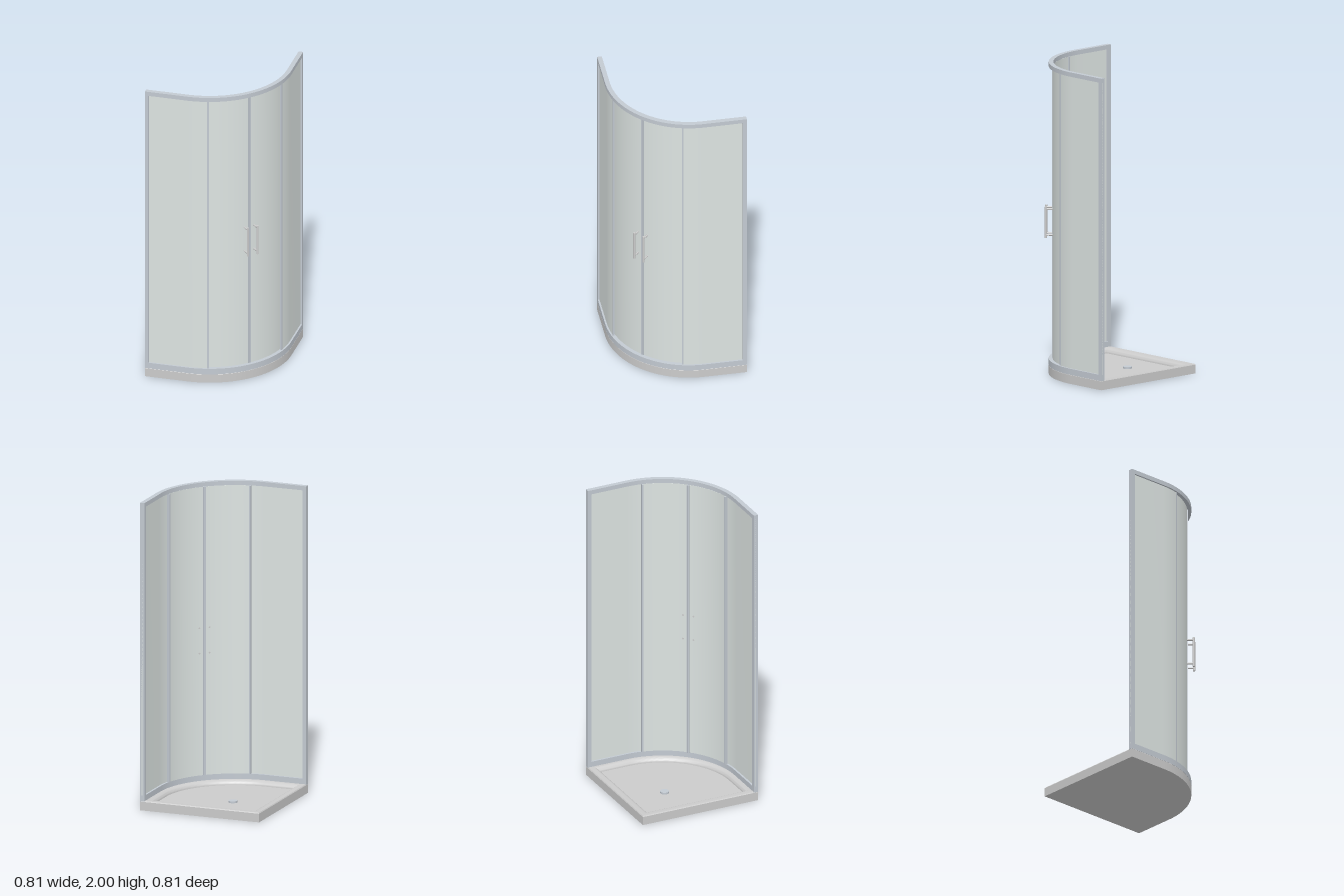
import * as THREE from 'three';
import { toCreasedNormals } from 'three/addons/utils/BufferGeometryUtils.js';

const H = 0.405;              // half width of the quadrant
const C = -0.13;              // centre of the curved front (x and z)
const R = H - C;              // outer radius of the curved front
const TOP = 2, SILL = 0.062;

const grey = new THREE.MeshStandardMaterial({ color: 0xcccccc });
const frameMat = new THREE.MeshStandardMaterial({ color: 0xc3cad2 });
const glassMat = new THREE.MeshStandardMaterial({ color: 0xdde4e2 });

// Front line at inset d, from angle a0 to a1 (0 = front, 90 = left side).
// Angles below 0 or above 90 include the straight runs.
function frontLine(d, a0, a1) {
  const pts = [], r = R - d;
  if (a0 < 0) pts.push([-H, H - d]);
  const s = Math.max(a0, 0), e = Math.min(a1, 90);
  const n = Math.max(1, Math.ceil((e - s) / 2));
  for (let i = 0; i <= n; i++) {
    const a = THREE.MathUtils.degToRad(s + (e - s) * i / n);
    pts.push([C + r * Math.sin(a), C + r * Math.cos(a)]);
  }
  if (a1 > 90) pts.push([H - d, -H]);
  return pts;
}

// Upright wall following the front line, between insets d0 and d1
function wall(name, mat, d0, d1, a0, a1, y0, y1) {
  const pts = [...frontLine(d0, a0, a1), ...frontLine(d1, a0, a1).reverse()];
  const shape = new THREE.Shape(pts.map(([x, z]) => new THREE.Vector2(x, -z)));
  const geo = new THREE.ExtrudeGeometry(shape, { depth: y1 - y0, bevelEnabled: false });
  geo.rotateX(-Math.PI / 2).translate(0, y0, 0);
  const mesh = new THREE.Mesh(toCreasedNormals(geo, 0.5), mat);
  mesh.name = name;
  return mesh;
}

// Shower tray: closed outlines at successive insets and heights
function tray() {
  const profile = [[null, 0], [0, 0], [0, 0.056], [0.004, SILL]];
  for (let i = 0; i <= 8; i++) {
    const a = i / 8 * Math.PI / 2;
    profile.push([0.025 + 0.04 * Math.sin(a), 0.03 + (SILL - 0.03) * Math.cos(a)]);
  }
  profile.push([null, 0.03]);
  const pos = [], idx = [];
  let n = 0;
  for (const [d, y] of profile) {
    const inset = d ?? 0;
    const line = frontLine(inset, 0, 90);
    const ring = [[-H + inset, -H + inset], [-H + inset, H - inset], ...line, [H - inset, -H + inset]];
    n = ring.length;
    for (const [x, z] of ring) pos.push(d === null ? -0.1 : x, y, d === null ? -0.1 : z);
  }
  const last = profile.length - 2;
  for (let k = 0; k <= last; k++) {
    for (let i = 0; i < n; i++) {
      const a = k * n + i, b = k * n + (i + 1) % n;
      if (k > 0) idx.push(a, b, b + n);
      if (k < last) idx.push(a, b + n, a + n);
      if (k === 0) idx.splice(-3, 3, a + n, a, b + n);
    }
  }
  const geo = new THREE.BufferGeometry();
  geo.setAttribute('position', new THREE.Float32BufferAttribute(pos, 3));
  geo.setIndex(idx);
  const mesh = new THREE.Mesh(toCreasedNormals(geo, 0.55), grey);
  mesh.name = 'tray';
  return mesh;
}

// Door handle: upright bar on two diagonal standoffs
function handle(name, x, z) {
  const g = new THREE.Group();
  g.name = name;
  const bar = new THREE.Mesh(new THREE.CylinderGeometry(0.007, 0.007, 0.2, 20), grey);
  bar.name = 'handleBar';
  bar.position.set(x, 0.97, z);
  g.add(bar);
  for (const y of [0.89, 1.055]) {
    const len = 0.05;
    const geo = new THREE.CylinderGeometry(0.006, 0.006, len, 16);
    geo.rotateX(Math.PI / 2).translate(0, 0, -len / 2).rotateY(Math.PI / 4);
    const post = new THREE.Mesh(geo, grey);
    post.name = 'handlePost';
    post.position.set(x, y, z);
    g.add(post);
  }
  return g;
}

export function createModel() {
  const model = new THREE.Group();
  model.name = 'showerEnclosure';
  model.add(tray());

  // Drain cover
  const drain = new THREE.Mesh(new THREE.CylinderGeometry(0.028, 0.028, 0.012, 32), frameMat);
  drain.name = 'drain';
  drain.position.set(-0.103, 0.036, -0.103);
  model.add(drain);

  // Bottom and top rails
  const low = 0.097, high = 1.972;
  model.add(wall('bottomRail', frameMat, 0, 0.03, -1, 91, SILL - 0.004, low));
  model.add(wall('topRail', frameMat, 0, 0.03, -1, 91, high, TOP));

  // Both sides: end post, fixed pane, sliding door and their edge profiles
  for (const side of ['right', 'left']) {
    const part = (name, mat, d0, d1, a0, a1) => {
      const [s, e] = side === 'right' ? [a0, a1] : [90 - a1, 90 - a0];
      model.add(wall(side + name, mat, d0, d1, s, e, low, high));
    };
    const post = new THREE.Mesh(new THREE.BoxGeometry(0.025, high - low, 0.03), frameMat);
    post.name = side + 'EndPost';
    post.position.set(-H + 0.0125, (low + high) / 2, H - 0.015);
    if (side === 'left') {
      post.position.set(H - 0.015, (low + high) / 2, -H + 0.0125);
      post.rotation.y = Math.PI / 2;
    }
    model.add(post);
    part('FixedPane', glassMat, 0.011, 0.017, -1, 14.3);
    part('FixedPaneEdge', frameMat, 0.008, 0.02, 13.8, 15);
    part('DoorPane', glassMat, 0.025, 0.031, 11.8, 44.6);
    part('DoorOuterEdge', frameMat, 0.021, 0.041, 11, 12.2);
    part('DoorMeetingEdge', frameMat, 0.021, 0.04, 44, 44.95);
  }

  model.add(handle('leftHandle', 0.285, 0.236));
  model.add(handle('rightHandle', 0.236, 0.285));
  return model;
}
